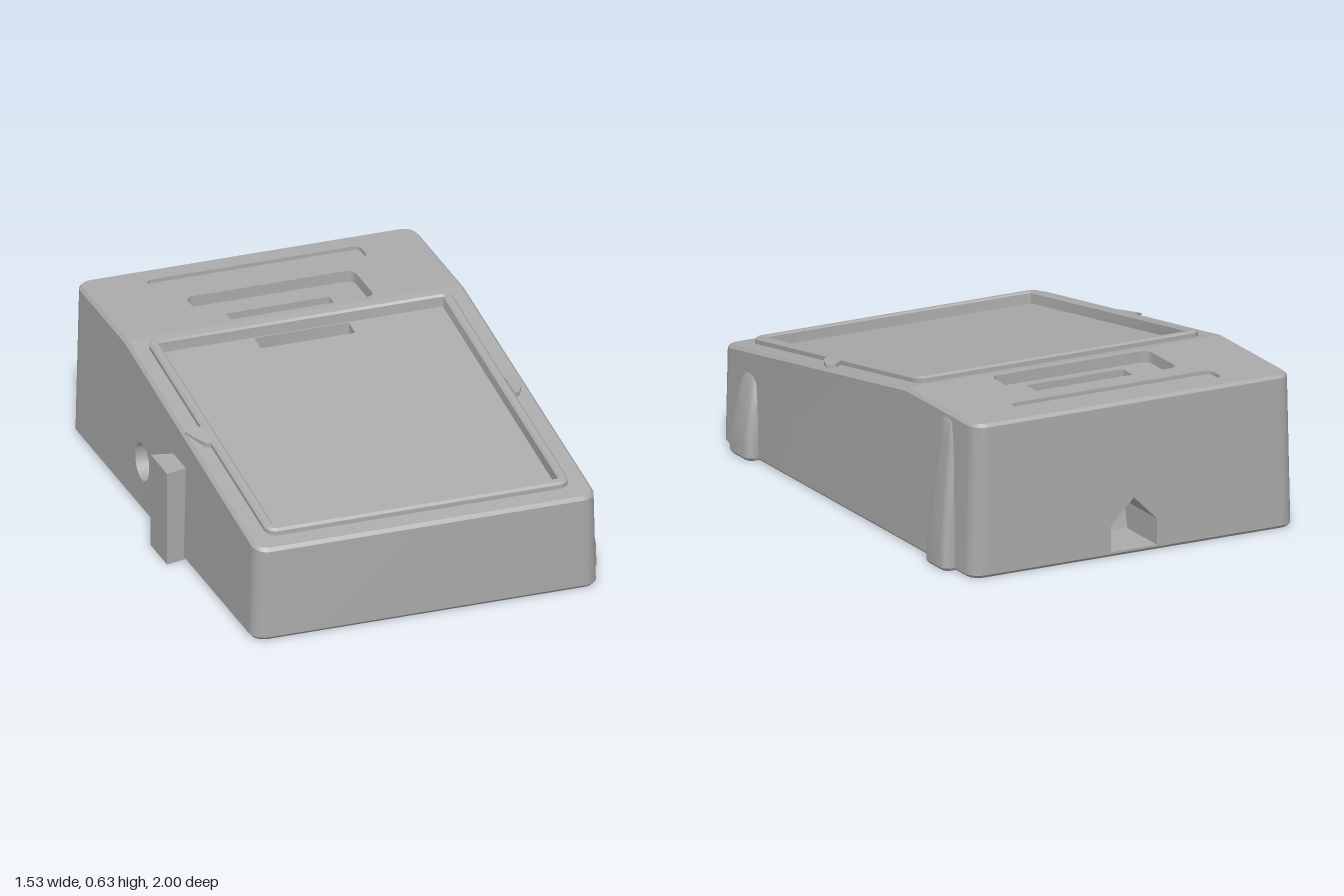
import * as THREE from 'three';
import { toCreasedNormals } from 'three/addons/utils/BufferGeometryUtils.js';

const CX = 0.015, HW = 0.705, CREASE = -0.45;
const slope = z => 0.385 + 0.1586 * (1 - z);          // tilted face height
const topY = z => Math.min(0.615, slope(z));          // whole upper surface
const draft = y => 1 - 0.035 * y;                     // side walls lean in slightly

// Rounded rectangle seen from above, height given by a function of z
function ring(x0, x1, z0, z1, r, yFn, { inset = 0, crease = false, lean = false } = {}) {
  const a = x0 + inset, b = x1 - inset, c = z0 + inset, d = z1 - inset;
  r = Math.max(r - inset, 0.002);
  const pts = [];
  [[b - r, d - r], [a + r, d - r], [a + r, c + r], [b - r, c + r]].forEach(([x, z], q) => {
    for (let i = 0; i <= 6; i++) {
      const t = (q + i / 6) * Math.PI / 2;
      pts.push([x + r * Math.cos(t), z + r * Math.sin(t)]);
    }
    if (crease && q === 1) pts.push([a, CREASE]);
    if (crease && q === 3) pts.push([b, CREASE]);
  });
  return pts.map(([x, z]) => {
    const y = yFn(z);
    return [lean ? CX + (x - CX) * draft(y) : x, y, z];
  });
}

// Skin between successive closed loops; skip leaves chosen quads open
function loft(rings, skip = () => false) {
  const pos = [];
  for (let j = 0; j + 1 < rings.length; j++) {
    const n = rings[j].length;
    for (let i = 0; i < n; i++) {
      if (skip(j, i)) continue;
      const k = (i + 1) % n;
      const a = rings[j][i], b = rings[j][k], c = rings[j + 1][k], d = rings[j + 1][i];
      pos.push(...a, ...d, ...b, ...d, ...c, ...b);
    }
  }
  const g = new THREE.BufferGeometry();
  g.setAttribute('position', new THREE.Float32BufferAttribute(pos, 3));
  return toCreasedNormals(g, 0.5);
}

// Flat sheet with holes, placed in space by a mapping
function panel(outline, holes, map) {
  const vec = l => l.map(p => new THREE.Vector2(p[0], p[1]));
  const s = new THREE.Shape(vec(outline));
  holes.forEach(h => s.holes.push(new THREE.Path(vec(h))));
  const g = new THREE.ShapeGeometry(s), p = g.attributes.position;
  for (let i = 0; i < p.count; i++) p.setXYZ(i, ...map(p.getX(i), p.getY(i)));
  g.computeVertexNormals();
  return g;
}
const plan = r => r.map(p => [p[0], -p[2]]);
const up = yFn => (u, v) => [u, yFn(-v), -v];
const down = y => (u, v) => [u, y, -v];
const level = y => () => y;

export function createModel() {
  const model = new THREE.Group();
  const grey = new THREE.MeshStandardMaterial({ color: 0xaaaaaa, side: THREE.DoubleSide });
  grey.name = 'grey plastic';
  const add = (name, g) => {
    const m = new THREE.Mesh(g, grey);
    m.name = name;
    model.add(m);
    return m;
  };
  // Panels facing down need their triangles turned over
  const flip = g => {
    const ix = g.index.array;
    for (let i = 0; i < ix.length; i += 3) [ix[i], ix[i + 1]] = [ix[i + 1], ix[i]];
    g.computeVertexNormals();
    return g;
  };

  // Housing shell
  const body = (inset, yFn) =>
    ring(CX - HW, CX + HW, -1, 1, 0.06, yFn, { inset, crease: true, lean: true });
  const shell = [body(0.012, level(0)), body(0, level(0.012)),
    body(0, z => topY(z) - 0.012), body(0.012, topY)];
  const base = shell[1], near = (a, b) => Math.abs(a - b) < 1e-5;
  const leftX = base.reduce((m, p) => Math.min(m, p[0]), 9);
  add('housingWalls', loft(shell, (j, i) => {
    const p = base[i], q = base[(i + 1) % base.length];
    return j === 1 && ((near(p[0], leftX) && near(q[0], leftX)) || (near(p[2], -1) && near(q[2], -1)));
  }));

  // Back wall with a gabled cable notch
  const house = [[-0.085, 0.02], [0.115, 0.02], [0.115, 0.125], [0.015, 0.225], [-0.085, 0.125]];
  const bx = HW - 0.06, by = 0.603;
  add('backWall', panel(
    [[-bx, 0.012], [bx, 0.012], [bx * draft(by) , by], [-bx * draft(by), by]],
    [house.map(([x, y]) => [CX - x, y])], (u, v) => [CX - u, v, -1]));
  add('cableTunnel', loft([-1, -0.72].map(z => house.map(([x, y]) => [x, y, z]))));

  // Side wall with a round socket
  const sideX = y => CX - HW * draft(y);
  const circle = Array.from({ length: 32 }, (_, i) => {
    const t = i / 32 * Math.PI * 2;
    return [-0.235 - 0.075 * Math.cos(t), 0.2 + 0.075 * Math.sin(t)];
  });
  add('socketWall', panel(
    [[-0.94, 0.012], [0.94, 0.012], [0.94, topY(0.94) - 0.012], [CREASE, 0.603], [-0.94, 0.603]],
    [circle], (u, v) => [sideX(v), v, u]));
  add('socket', loft([circle.map(([z, y]) => [sideX(y), y, z]), circle.map(([z, y]) => [-0.24, y, z])]));

  // Top faces: flat shelf and tilted deck
  const pocket = (inset, y) => ring(-0.33, 0.355, -0.72, -0.48, 0.035, level(y), { inset });
  const groove = y => ring(-0.42, 0.45, -0.91, -0.81, 0.025, level(y));
  const rim = (inset, h) =>
    ring(-0.605, 0.63, -0.41, 0.92, 0.045, z => slope(z) + h, { inset });
  const edge = shell[3];
  add('shelf', panel(plan(edge.filter(p => p[2] <= CREASE + 1e-5)),
    [plan(pocket(0, 0.615)), plan(groove(0.615))], up(topY)));
  add('deck', panel(plan(edge.filter(p => p[2] >= CREASE - 1e-5)), [plan(rim(0, 0))], up(topY)));
  add('grooveWalls', loft([groove(0.615), groove(0.6)]));
  add('grooveFloor', panel(plan(groove(0.6)), [], up(level(0.6))));

  // Slots: wide well, ledge, then a narrower opening into the cavity
  const LEDGE = 0.49, CEIL = 0.47;
  const slots = [
    { x: [-0.2, 0.22], z: [-0.62, -0.52], hole: [-0.11, 0.135], top: level(0.57) },
    { x: [-0.18, 0.205], z: [-0.365, -0.295], hole: [-0.08, 0.105], top: z => slope(z) - 0.022 },
  ].map(s => ({
    well: yFn => ring(...s.x, ...s.z, 0.004, yFn),
    throat: y => ring(...s.hole, ...s.z, 0.004, level(y), { inset: 0.001 }),
    top: s.top,
  }));
  slots.forEach(s => {
    add('slotWalls', loft([s.well(s.top), s.well(level(LEDGE))]));
    add('slotLedge', panel(plan(s.well(level(LEDGE))), [plan(s.throat(LEDGE))], up(level(LEDGE))));
    add('slotThroat', loft([s.throat(LEDGE), s.throat(CEIL)]));
  });

  // Rounded pocket on the shelf
  add('pocketWalls', loft([pocket(0, 0.615), pocket(0, 0.57)]));
  add('pocketFloor', panel(plan(pocket(0, 0.57)), [plan(slots[0].well(level(0)))], up(level(0.57))));

  // Raised frame and sunken tray
  add('frame', loft([rim(0, -0.005), rim(0, 0.017), rim(0.01, 0.025), rim(0.03, 0.025),
    rim(0.038, 0.018), rim(0.04, -0.022)]));
  add('trayFloor', panel(plan(rim(0.04, 0)), [plan(slots[1].well(level(0)))],
    up(z => slope(z) - 0.022)));

  // Underside with tapering cavity
  const mouth = ring(-0.22, 0.255, -0.77, 0.14, 0.004, level(0));
  const roof = ring(-0.125, 0.15, -0.66, -0.26, 0.004, level(CEIL));
  add('underside', flip(panel(plan(shell[0]), [plan(mouth)], down(0))));
  add('cavityWalls', loft([roof, mouth]));
  add('cavityRoof', flip(panel(plan(roof), slots.map(s => plan(s.throat(CEIL))), down(CEIL))));

  // Tapered ribs on one side: height, outer x, half width
  const ribs = [
    [0.78, [[0, 0.755, 0.074], [0.012, 0.765, 0.08], [0.1, 0.763, 0.077], [0.2, 0.744, 0.07],
      [0.3, 0.724, 0.058], [0.34, 0.706, 0.04]]],
    [-0.78, [[0, 0.755, 0.074], [0.012, 0.765, 0.08], [0.1, 0.764, 0.076], [0.3, 0.742, 0.066],
      [0.5, 0.72, 0.055], [0.58, 0.711, 0.048], [0.6, 0.7, 0.04]]],
  ];
  for (const [z, rows] of ribs) {
    const loops = rows.map(([y, x, h]) => ring(0.64, x, z - h, z + h, 0.028, level(y)));
    add('sideRib', loft(loops));
    add('ribFoot', flip(panel(plan(loops[0]), [], down(0))));
  }

  // Dovetail tab on the other side
  const tab = new THREE.Shape([[-0.765, -0.25], [-0.67, -0.225], [-0.67, -0.095], [-0.765, -0.07]]
    .map(p => new THREE.Vector2(...p)));
  add('dovetailTab', new THREE.ExtrudeGeometry(tab, { depth: 0.385, bevelEnabled: false })
    .rotateX(-Math.PI / 2));

  // Small finger catches on either side of the frame
  const leaf = [[-0.6, 0.2], [-0.6, 0.31], [-0.625, 0.295], [-0.645, 0.255], [-0.67, 0.19], [-0.64, 0.172]];
  for (const side of [1, -1]) {
    const pts = leaf.map(([x, z]) => [side > 0 ? x : 2 * CX - x, z]);
    if (side < 0) pts.reverse();
    const rise = x => 0.022 - 0.2 * Math.max(0, Math.abs(x - CX) - 0.615);
    const low = pts.map(([x, z]) => [x, slope(z) - 0.01, z]);
    const high = pts.map(([x, z]) => [x, slope(z) + rise(x), z]);
    add('fingerCatch', loft([low, high]));
    add('fingerCatchTop', panel(plan(high), [], (u, v) => [u, slope(-v) + rise(u), -v]));
  }
  return model;
}
